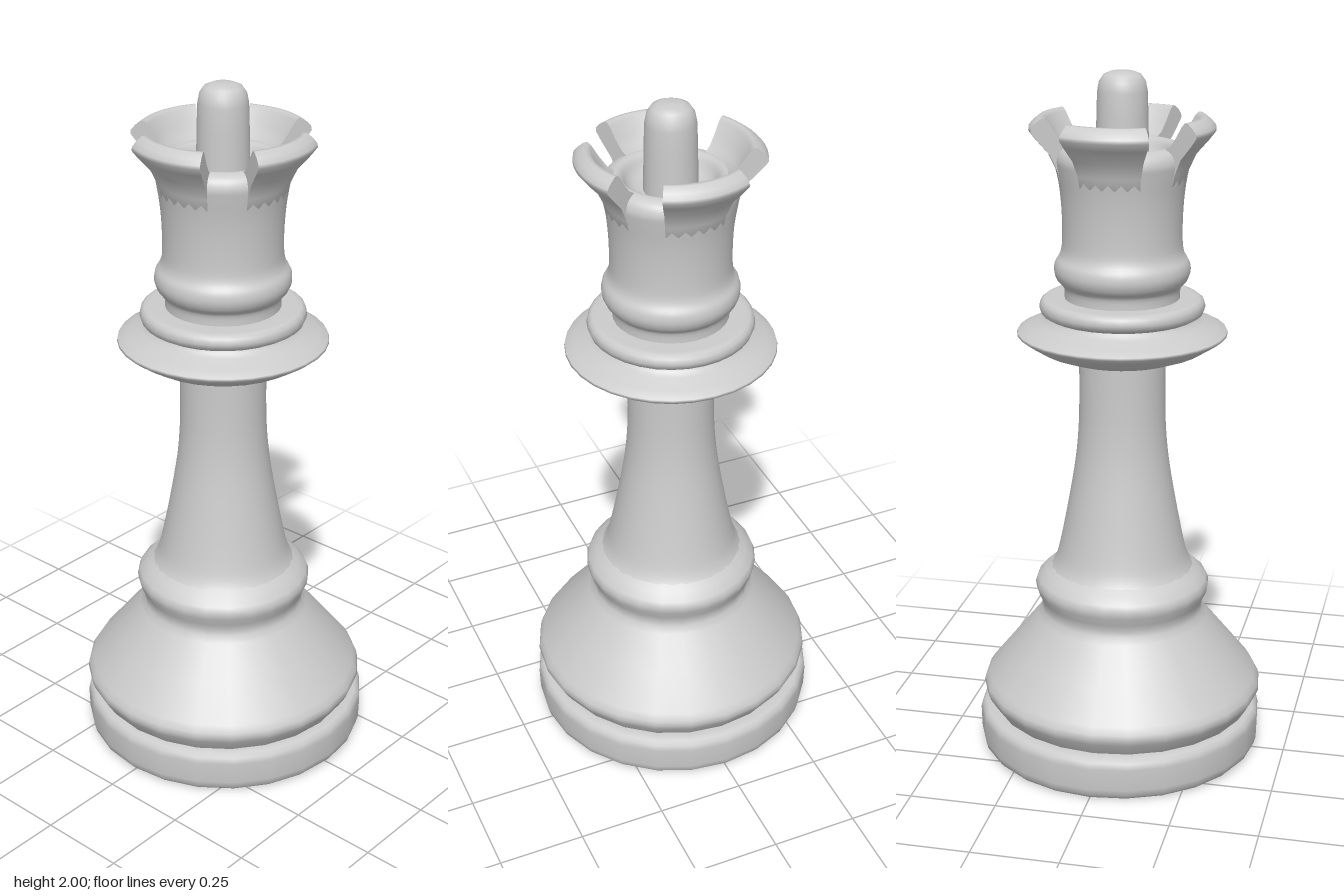
import * as THREE from 'three';

const SEGMENTS = 32;
const toPoints = (list) => list.map(([r, y]) => new THREE.Vector2(r, y));
const soften = (list, n) => new THREE.SplineCurve(toPoints(list)).getPoints(n);

export function createModel() {
  const model = new THREE.Group();
  const grey = new THREE.MeshStandardMaterial({ color: 0xcccccc });
  const greyDouble = new THREE.MeshStandardMaterial({ color: 0xcccccc, side: THREE.DoubleSide });

  // The turned parts sit slightly off the plinth's centre
  const turned = new THREE.Group();
  turned.name = 'turnedBody';
  turned.position.x = -0.007;
  model.add(turned);

  function turn(name, points, parent = turned, segments = SEGMENTS) {
    const mesh = new THREE.Mesh(new THREE.LatheGeometry(points, segments), grey);
    mesh.name = name;
    parent.add(mesh);
    return mesh;
  }

  // Plinth: flat underside, soft rim
  turn('plinth', toPoints([
    [0, 0], [0.39, 0], [0.4, 0.003], [0.411, 0.015], [0.416, 0.035],
    [0.418, 0.1], [0.414, 0.118], [0.403, 0.128], [0.38, 0.133], [0.3, 0.134],
  ]), model, 24);

  // Flared base with grooved foot and rounded upper ring
  turn('base', toPoints([
    [0.37, 0.12], [0.385, 0.14], [0.405, 0.172], [0.412, 0.19], [0.409, 0.205],
    [0.397, 0.225], [0.325, 0.315], [0.25, 0.408], [0.237, 0.428], [0.235, 0.445],
    [0.24, 0.465], [0.252, 0.49], [0.255, 0.51], [0.248, 0.528], [0.225, 0.55], [0.19, 0.575],
  ]), turned, 24);

  // Concave stem
  turn('stem', soften([
    [0.215, 0.55], [0.197, 0.58], [0.182, 0.63], [0.158, 0.75],
    [0.136, 0.88], [0.126, 0.98], [0.123, 1.08], [0.123, 1.22],
  ], 24));

  // Wide collar and the stepped ring on top of it
  turn('collar', toPoints([
    [0.1, 1.196], [0.125, 1.197], [0.18, 1.205], [0.235, 1.226], [0.28, 1.254],
    [0.298, 1.268], [0.296, 1.275], [0.27, 1.288], [0.23, 1.304], [0.216, 1.314], [0.212, 1.322],
  ]));
  turn('collarRing', toPoints([
    [0.212, 1.32], [0.228, 1.329], [0.234, 1.345], [0.23, 1.361], [0.22, 1.369], [0.205, 1.371], [0.14, 1.371],
  ]));

  // Head: neck, bead, flaring cup and rounded inner rim
  turn('head', soften([
    [0.163, 1.36], [0.164, 1.4], [0.182, 1.422], [0.191, 1.446], [0.188, 1.472],
    [0.174, 1.497], [0.168, 1.53], [0.168, 1.6], [0.173, 1.67], [0.183, 1.735],
    [0.186, 1.765], [0.175, 1.79], [0.15, 1.802], [0.132, 1.795], [0.114, 1.77], [0.09, 1.755], [0.05, 1.755],
  ], 64));

  // Finial knob
  turn('knob', toPoints([
    [0.074, 1.74], [0.071, 1.88], [0.069, 1.945], [0.064, 1.972], [0.052, 1.99], [0.034, 1.998], [0, 2],
  ]));

  // Four crown prongs: a swept cross-section closed by end caps
  const section = [
    [0.15, 1.68], [0.172, 1.68], [0.184, 1.735], [0.205, 1.78], [0.24, 1.82], [0.257, 1.842],
    [0.256, 1.853], [0.245, 1.866], [0.228, 1.879], [0.218, 1.88], [0.208, 1.87],
    [0.188, 1.838], [0.168, 1.812], [0.145, 1.798], [0.13, 1.775],
  ];
  const halfAngle = 0.49;
  const sweep = new THREE.LatheGeometry(toPoints([...section, section[0]]), 10, -halfAngle, halfAngle * 2);
  const capShape = new THREE.Shape(toPoints(section));
  for (let i = 0; i < 4; i++) {
    const prong = new THREE.Group();
    prong.name = `crownProng${i + 1}`;
    prong.rotation.y = (i * Math.PI) / 2;
    const shell = new THREE.Mesh(sweep, grey);
    shell.name = 'prongShell';
    prong.add(shell);
    for (const side of [-1, 1]) {
      const cap = new THREE.Mesh(new THREE.ShapeGeometry(capShape), greyDouble);
      cap.name = 'prongEnd';
      cap.rotation.y = side * halfAngle - Math.PI / 2;
      prong.add(cap);
    }
    turned.add(prong);
  }

  return model;
}
